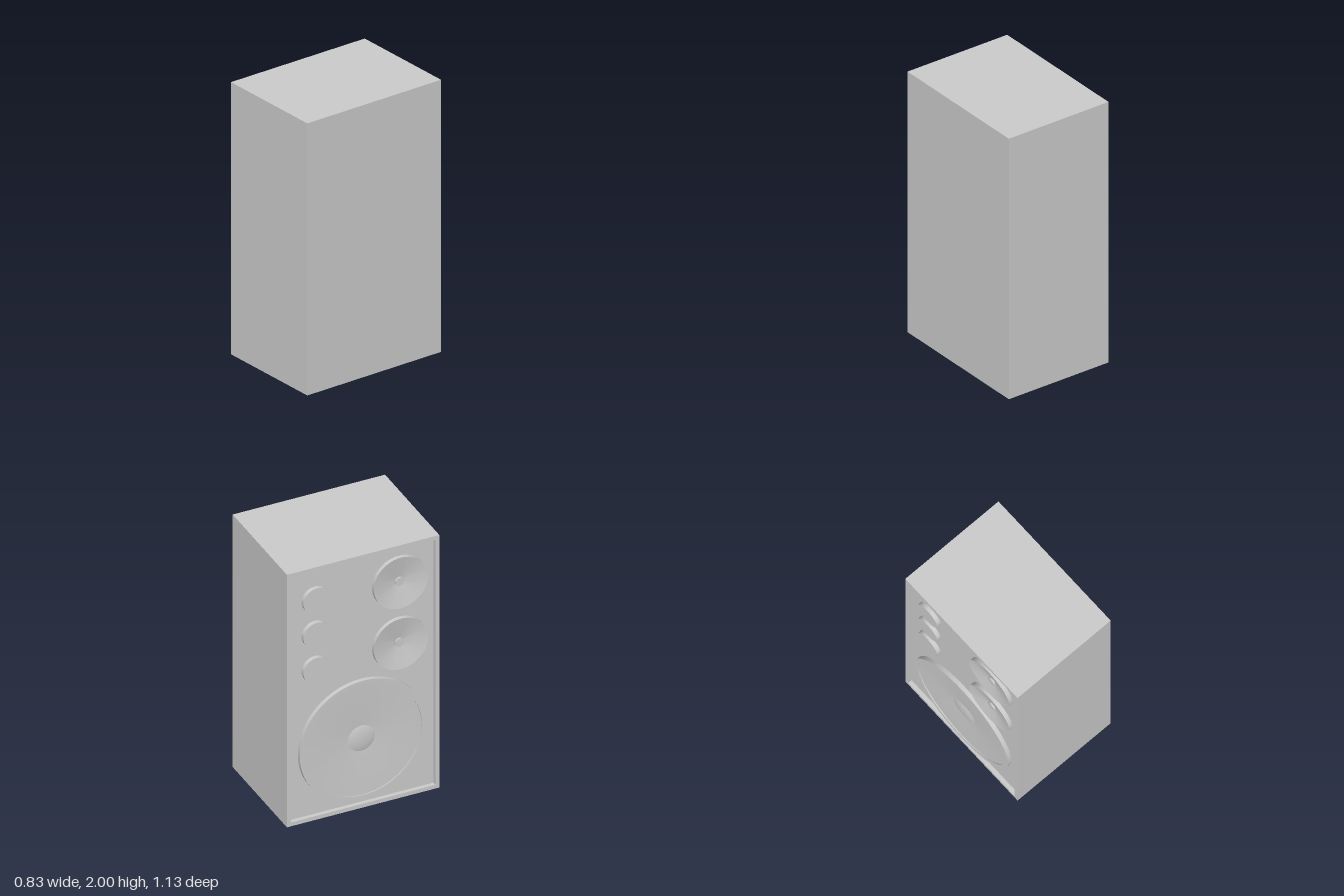
import * as THREE from 'three';
import { toCreasedNormals } from 'three/addons/utils/BufferGeometryUtils.js';

const W = 0.415, D = 0.565, H = 2;   // half width, half depth, height
const RIM = 0.03, RECESS = 0.03;     // frame around the sunken baffle
const material = new THREE.MeshStandardMaterial({ color: 0xcccccc });

// Closed cabinet from rectangular loops: plain side, speaker side, rim, baffle
function cabinetGeometry() {
  const loop = (x, inset) => {
    const z = D - inset, lo = inset, hi = H - inset;
    return [[x, lo, z], [x, hi, z], [x, hi, -z], [x, lo, -z]];
  };
  const loops = [loop(W, 0), loop(-W, 0), loop(-W, RIM), loop(-W + RECESS, RIM)];
  const index = [];
  for (let i = 0; i < loops.length - 1; i++) {
    for (let j = 0; j < 4; j++) {
      const a = i * 4 + j, b = i * 4 + (j + 1) % 4;
      index.push(a, b, b + 4, a, b + 4, a + 4);
    }
  }
  const e = (loops.length - 1) * 4;
  index.push(0, 2, 1, 0, 3, 2, e, e + 1, e + 2, e, e + 2, e + 3);
  const geometry = new THREE.BufferGeometry();
  geometry.setAttribute('position', new THREE.Float32BufferAttribute(loops.flat(2), 3));
  geometry.setIndex(index);
  const flat = geometry.toNonIndexed();
  flat.computeVertexNormals();
  return flat;
}

// Round driver turned from a [radius, height] profile, facing -x on the baffle
function driver(name, profile, y, z) {
  const points = profile.map(([r, h]) => new THREE.Vector2(r, h));
  const geometry = toCreasedNormals(new THREE.LatheGeometry(points, 64), 0.2);
  const mesh = new THREE.Mesh(geometry, material);
  mesh.name = name;
  mesh.rotation.z = Math.PI / 2;
  mesh.position.set(-W + RECESS, y, z);
  return mesh;
}

export function createModel() {
  const group = new THREE.Group();
  group.name = 'loudspeaker';

  const cabinet = new THREE.Mesh(cabinetGeometry(), material);
  cabinet.name = 'cabinet';
  group.add(cabinet);

  // Woofer: surround ring, shallow cone, domed dust cap
  const woofer = [
    [0.47, 0], [0.47, 0.03], [0.435, 0.03], [0.435, 0.023], [0.1, 0.003],
    [0.08, 0.008], [0.05, 0.012], [0.025, 0.0135], [0, 0.014],
  ];
  group.add(driver('woofer', woofer, 0.534, 0));

  // Midrange drivers: concave cone with a small centre plug
  const midrange = [[0.2, 0], [0.2, 0.03], [0.033, 0.002], [0.033, 0.014], [0, 0.014]];
  for (const y of [1.217, 1.7]) group.add(driver('midrange', midrange, y, 0.28));

  // Tweeters: plain raised discs
  const tweeter = [[0.1, 0], [0.1, 0.03], [0, 0.03]];
  for (const y of [1.18, 1.458, 1.73]) group.add(driver('tweeter', tweeter, y, -0.342));

  return group;
}
